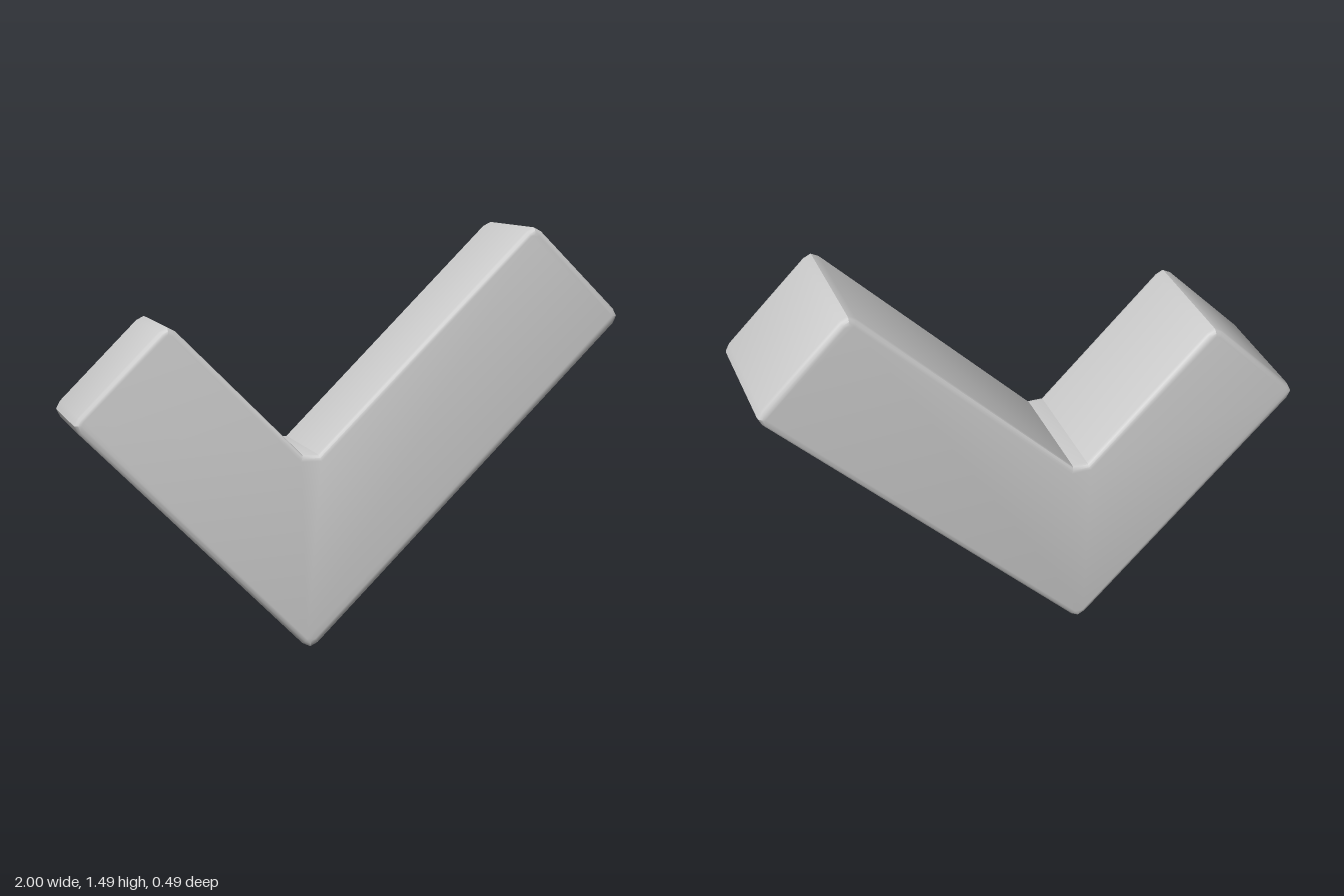
import * as THREE from 'three';
import { toCreasedNormals } from 'three/addons/utils/BufferGeometryUtils.js';

const HALF_DEPTH = 0.245;
const BEVEL = 0.022;
const ROUND = 0.04;

// Outline of the tick, counter-clockwise, before the corners are softened
const CORNERS = [
  [-0.165, -0.014], [1.014, 1.165], [0.672, 1.506],
  [-0.163, 0.671], [-0.672, 1.18], [-1.014, 0.835],
].map(([x, y]) => new THREE.Vector2(x, y));
const INNER = 3; // the notch, filled with a straight chamfer

function tickShape() {
  const shape = new THREE.Shape();
  const n = CORNERS.length;
  CORNERS.forEach((c, i) => {
    const toward = (o) => o.clone().sub(c).setLength(ROUND).add(c);
    const a = toward(CORNERS[(i + n - 1) % n]);
    const b = toward(CORNERS[(i + 1) % n]);
    if (i === 0) shape.moveTo(a.x, a.y);
    else shape.lineTo(a.x, a.y);
    if (i === INNER) shape.lineTo(b.x, b.y);
    else shape.quadraticCurveTo(c.x, c.y, b.x, b.y);
  });
  shape.closePath();
  return shape;
}

export function createModel() {
  const group = new THREE.Group();
  group.name = 'checkMark';

  // Thick tick with a narrow rounded bevel on both faces
  const depth = 2 * (HALF_DEPTH - BEVEL);
  const geometry = new THREE.ExtrudeGeometry(tickShape(), {
    depth,
    curveSegments: 2,
    bevelEnabled: true,
    bevelThickness: BEVEL,
    bevelSize: BEVEL,
    bevelOffset: -BEVEL,
    bevelSegments: 3,
  });
  geometry.translate(0, 0, -depth / 2);

  const body = new THREE.Mesh(
    toCreasedNormals(geometry, THREE.MathUtils.degToRad(35)),
    new THREE.MeshStandardMaterial({ color: 0xcccccc }),
  );
  body.name = 'tickBody';
  group.add(body);
  return group;
}
